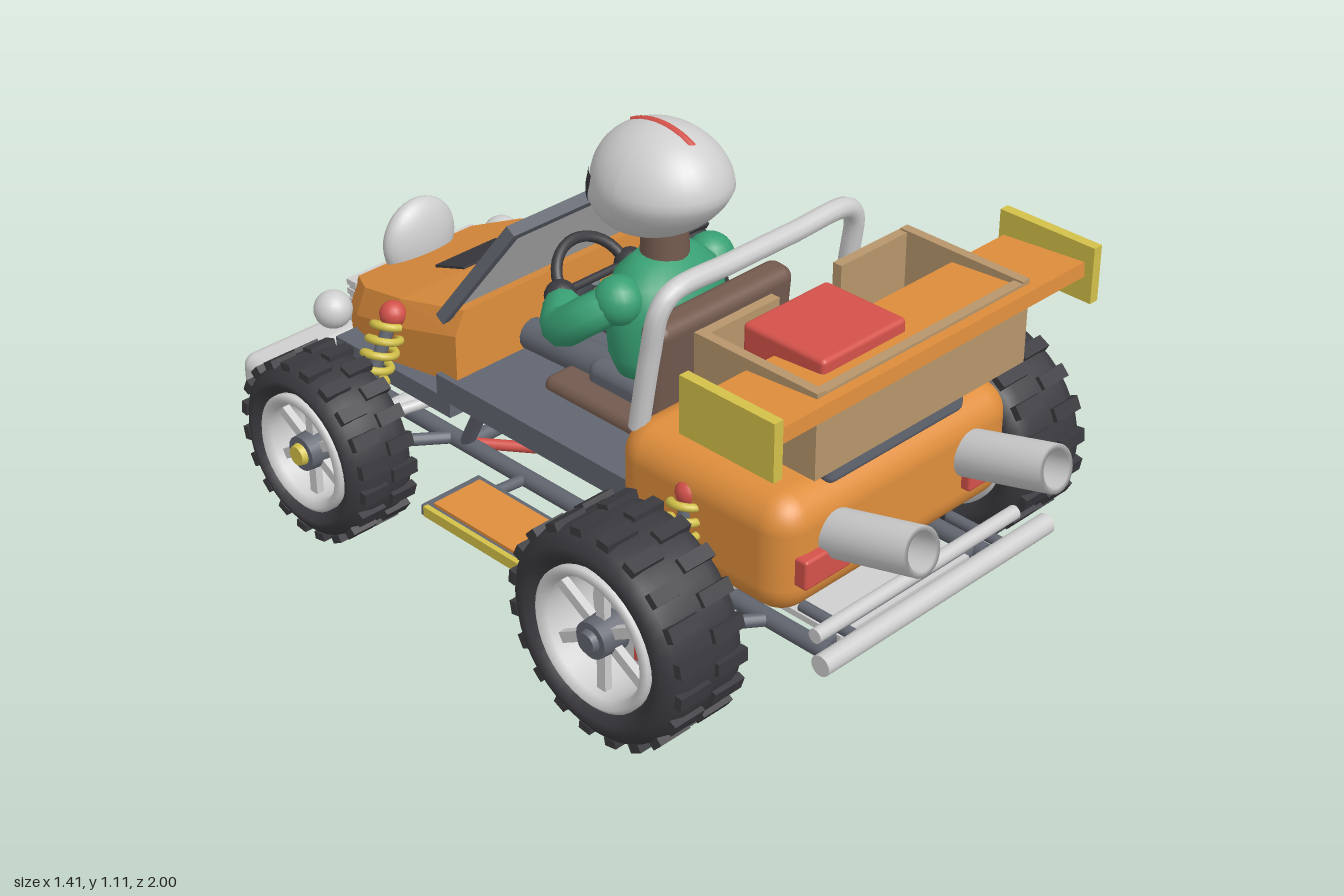
import * as THREE from 'three';
import { RoundedBoxGeometry } from 'three/addons/geometries/RoundedBoxGeometry.js';

const mat = (name, color) => Object.assign(new THREE.MeshStandardMaterial({ color }), { name });
const M = {
  orange: mat('orange paint', 0xdf8e3c), slate: mat('slate metal', 0x626670), light: mat('light metal', 0xcfcfcf),
  rubber: mat('dark rubber', 0x3a3a3f), yellow: mat('yellow', 0xd3c14a), red: mat('red', 0xd3524a),
  green: mat('green suit', 0x38a074), brown: mat('brown leather', 0x735a4e), tan: mat('tan wood', 0xb7966c),
};
const V = (x, y, z) => new THREE.Vector3(x, y, z);
const SIDES = [-1, 1];

export function createModel() {
  const root = new THREE.Group();
  root.name = 'buggy';
  const add = (name, geo, m, x = 0, y = 0, z = 0, parent = root) => {
    const mesh = new THREE.Mesh(geo, m);
    mesh.name = name;
    mesh.position.set(x, y, z);
    parent.add(mesh);
    return mesh;
  };
  // Box given by its extents
  const box = (name, m, x0, x1, y0, y1, z0, z1, r = 0) => {
    const s = [x1 - x0, y1 - y0, z1 - z0];
    const geo = r ? new RoundedBoxGeometry(...s, 4, r) : new THREE.BoxGeometry(...s);
    return add(name, geo, m, (x0 + x1) / 2, (y0 + y1) / 2, (z0 + z1) / 2);
  };
  // Straight round bar between two points
  const bar = (name, m, a, b, r, r2 = r) => {
    const d = b.clone().sub(a);
    const mesh = add(name, new THREE.CylinderGeometry(r2, r, d.length(), 14), m, ...a.clone().add(b).multiplyScalar(0.5));
    mesh.quaternion.setFromUnitVectors(V(0, 1, 0), d.normalize());
    return mesh;
  };
  const tube = (name, m, pts, r, seg = 40) =>
    add(name, new THREE.TubeGeometry(new THREE.CatmullRomCurve3(pts), seg, r, 10), m);
  const lathe = (pts, seg = 40) => new THREE.LatheGeometry(pts.map(p => new THREE.Vector2(...p)), seg);

  // Wheels: tyre, tread, rim, spokes, hub and brake, built around the y axis
  function wheel(name, s, x, y, z, R, w, rim, hubMat) {
    const g = new THREE.Group();
    g.name = name;
    g.position.set(x, y, z);
    g.rotation.z = -s * Math.PI / 2;
    root.add(g);
    const h = w / 2, t = R - 0.01;
    add('tyre', lathe([[rim, -h + 0.03], [rim + 0.03, -h], [t - 0.035, -h], [t - 0.008, -h + 0.02], [t, -h + 0.05],
      [t, h - 0.05], [t - 0.008, h - 0.02], [t - 0.035, h], [rim + 0.03, h], [rim, h - 0.03], [rim, -h + 0.03]]), M.rubber, 0, 0, 0, g);
    add('rim', lathe([[rim - 0.02, -h + 0.03], [rim + 0.006, -h + 0.01], [rim + 0.006, h - 0.01], [rim - 0.008, h],
      [rim - 0.022, h - 0.02], [rim - 0.02, -h + 0.03]]), M.light, 0, 0, 0, g);
    for (let i = 0; i < 20; i++) for (const side of SIDES) {
      const a = (i + (side > 0 ? 0.4 : 0)) / 20 * Math.PI * 2;
      const k = add('treadBlock', new THREE.BoxGeometry(0.02, w * 0.38, 0.034), M.rubber,
        Math.cos(a) * (R - 0.009), side * w * 0.235, Math.sin(a) * (R - 0.009), g);
      k.rotation.y = -a;
    }
    for (let i = 0; i < 6; i++) {
      const a = i / 6 * Math.PI * 2, r = rim / 2;
      const k = add('spoke', new THREE.BoxGeometry(rim - 0.02, 0.02, 0.026), M.light, Math.cos(a) * r, h - 0.05, Math.sin(a) * r, g);
      k.rotation.y = -a;
    }
    add('hub', new THREE.CylinderGeometry(0.045, 0.05, 0.07, 18), M.slate, 0, h - 0.045, 0, g);
    add('hubCap', new THREE.CylinderGeometry(0.025, 0.03, 0.02, 14), hubMat, 0, h - 0.005, 0, g);
    add('brakeDisc', new THREE.CylinderGeometry(rim * 0.68, rim * 0.68, 0.02, 28), M.light, 0, -0.02, 0, g);
    add('brakeCaliper', new THREE.BoxGeometry(0.07, 0.07, 0.06), M.red, -0.02, 0, 0.09, g);
  }
  for (const s of SIDES) {
    wheel('rearWheel', s, s * 0.582, 0.27, 0.466, 0.27, 0.235, 0.17, M.slate);
    wheel('frontWheel', s, s * 0.552, 0.238, -0.6, 0.235, 0.19, 0.147, M.yellow);
  }

  // Rear body, engine and lights
  box('rearBody', M.orange, -0.39, 0.39, 0.287, 0.587, 0.22, 0.75, 0.08);
  box('engineBlock', M.slate, -0.225, 0.225, 0.57, 0.64, 0.4, 0.73, 0.02);
  for (const s of SIDES) box('engineHead', M.slate, s * 0.16 - 0.06, s * 0.16 + 0.06, 0.6, 0.69, 0.42, 0.57);
  add('airIntake', new THREE.CylinderGeometry(0.098, 0.098, 0.12, 28), M.light, 0, 0.66, 0.5);
  add('intakeDome', new THREE.SphereGeometry(0.098, 28, 12, 0, Math.PI * 2, 0, Math.PI / 2), M.light, 0, 0.72, 0.5);
  for (const s of SIDES) {
    box('tailLight', M.red, s * 0.272 - 0.073, s * 0.272 + 0.073, 0.38, 0.455, 0.72, 0.775, 0.008);
    const pipe = add('exhaustPipe', lathe([[0.044, -0.15], [0.057, -0.15], [0.057, 0.15], [0.044, 0.15], [0.044, -0.15]], 24),
      M.light, s * 0.225, 0.493, 0.845);
    pipe.rotation.x = Math.PI / 2 - 0.27;
    const plug = add('exhaustInside', new THREE.CylinderGeometry(0.045, 0.045, 0.02, 20), M.rubber, s * 0.225, 0.465, 0.745);
    plug.rotation.x = pipe.rotation.x;
  }

  // Cargo box with a notch at its front, and its load
  box('cargoBack', M.tan, -0.345, 0.345, 0.672, 0.88, 0.765, 0.79);
  for (const s of SIDES) {
    const c = s * 0.333;
    box('cargoSide', M.tan, c - 0.012, c + 0.012, 0.672, 0.885, 0.435, 0.79);
    box('cargoFront', M.tan, s * 0.22 - 0.12, s * 0.22 + 0.12, 0.672, 0.88, 0.43, 0.455);
    box('cargoFloor', M.tan, s * 0.22 - 0.12, s * 0.22 + 0.12, 0.672, 0.69, 0.44, 0.78);
  }
  box('cargoFloorRear', M.tan, -0.11, 0.11, 0.672, 0.69, 0.6, 0.78);
  box('redCase', M.red, -0.26, 0.005, 0.72, 0.9, 0.495, 0.73, 0.012);

  // Rear wing
  const wing = box('wing', M.orange, -0.51, 0.51, 0.83, 0.866, 0.59, 0.82);
  wing.rotation.x = -0.08;
  for (const s of SIDES) box('wingEndPlate', M.yellow, s * 0.517 - 0.013, s * 0.517 + 0.013, 0.777, 0.918, 0.575, 0.843);

  // Roll bar
  tube('rollBar', M.light, [V(-0.33, 0.56, 0.25), V(-0.325, 0.75, 0.28), V(-0.315, 0.87, 0.3), V(-0.28, 0.905, 0.305), V(-0.1, 0.907, 0.305),
    V(0.1, 0.907, 0.305), V(0.28, 0.905, 0.305), V(0.315, 0.87, 0.3), V(0.325, 0.75, 0.28), V(0.33, 0.56, 0.25)], 0.025, 70);

  // Tub and front deck
  box('tubFloor', M.slate, -0.355, 0.355, 0.355, 0.42, -0.42, 0.25);
  box('frontDeck', M.slate, -0.35, 0.35, 0.31, 0.36, -0.81, -0.38);

  // Hood lofted from half width, bottom, shoulder and top at each z
  const rings = [[-0.36, 0.34, 0.41, 0.54, 0.6], [-0.6, 0.338, 0.37, 0.47, 0.535], [-0.8, 0.288, 0.31, 0.4, 0.467], [-0.91, 0.22, 0.275, 0.36, 0.43]]
    .map(([z, w, b, sh, t]) => [[w, b], [w, sh], [w - 0.03, t], [0.03 - w, t], [-w, sh], [-w, b]].map(([x, y]) => [x, y, z]));
  const idx = [], n = 6, last = (rings.length - 1) * n;
  for (let i = 0; i < last; i += n) for (let j = 0; j < n; j++) {
    const a = i + j, b = i + (j + 1) % n;
    idx.push(a, a + n, b, b, a + n, b + n);
  }
  for (let j = 1; j < n - 1; j++) idx.push(0, j, j + 1, last, last + j + 1, last + j);
  const loft = new THREE.BufferGeometry();
  loft.setAttribute('position', new THREE.Float32BufferAttribute(rings.flat(2), 3));
  loft.setIndex(idx);
  const hood = loft.toNonIndexed();
  hood.computeVertexNormals();
  add('hood', hood, M.orange);
  const vent = box('hoodVent', M.rubber, -0.1, 0.1, 0.514, 0.522, -0.715, -0.6);
  vent.rotation.x = -0.325;

  // Nose: large lamp, side lamps, grille and bumper
  add('centreLamp', new THREE.SphereGeometry(0.112, 32, 20), M.light, 0, 0.475, -0.895).scale.z = 0.45;
  for (const s of SIDES) add('sideLamp', new THREE.SphereGeometry(0.05, 20, 14), M.light, s * 0.285, 0.375, -0.9);
  for (let i = 0; i < 5; i++) box('grilleSlat', M.light, -0.21, 0.21, 0.3 + i * 0.026, 0.316 + i * 0.026, -0.935, -0.9);
  for (let i = 0; i < 11; i++) box('grillePost', M.light, -0.206 + i * 0.04, -0.194 + i * 0.04, 0.3, 0.42, -0.93, -0.9);
  box('grilleBadge', M.red, -0.03, 0.03, 0.32, 0.39, -0.942, -0.93);
  box('frontBumper', M.light, -0.515, 0.515, 0.18, 0.3, -1, -0.88, 0.035);

  // Windshield: frame with a pane, leaning back
  const shield = new THREE.Group();
  shield.name = 'windshield';
  shield.position.set(0, 0.57, -0.41);
  shield.rotation.x = 0.604;
  root.add(shield);
  const trapezoid = (C, b, t, y0, y1) => {
    const p = new C();
    p.moveTo(-b, y0); p.lineTo(b, y0); p.lineTo(t, y1); p.lineTo(-t, y1); p.closePath();
    return p;
  };
  const frame = trapezoid(THREE.Shape, 0.345, 0.29, 0, 0.355);
  frame.holes.push(trapezoid(THREE.Path, 0.32, 0.268, 0.022, 0.333));
  add('windshieldFrame', new THREE.ExtrudeGeometry(frame, { depth: 0.03, bevelEnabled: false }), M.slate, 0, 0, -0.015, shield);
  add('windshieldPane', new THREE.ExtrudeGeometry(trapezoid(THREE.Shape, 0.322, 0.27, 0.02, 0.335), { depth: 0.008, bevelEnabled: false }),
    M.light, 0, 0, -0.008, shield);

  // Steering
  bar('steeringColumn', M.slate, V(0, 0.61, -0.24), V(0, 0.43, -0.4), 0.016);
  add('steeringWheel', new THREE.TorusGeometry(0.105, 0.014, 10, 32), M.rubber, 0, 0.615, -0.24).rotation.x = -0.7;
  bar('steeringSpoke', M.rubber, V(-0.1, 0.615, -0.24), V(0.1, 0.615, -0.24), 0.01);

  // Seat
  box('seatBase', M.brown, -0.215, 0.215, 0.3, 0.45, -0.2, 0.17, 0.025);
  const back = box('seatBack', M.brown, -0.222, 0.222, 0.42, 0.74, 0.12, 0.2, 0.03);
  back.rotation.x = 0.09;

  // Driver
  add('torso', lathe([[0, 0], [0.13, 0], [0.155, 0.06], [0.165, 0.18], [0.14, 0.25], [0.08, 0.295], [0, 0.3]], 28), M.green, 0, 0.49, 0).scale.z = 0.7;
  box('hips', M.slate, -0.15, 0.15, 0.41, 0.5, -0.12, 0.12, 0.03);
  add('neck', new THREE.CylinderGeometry(0.055, 0.06, 0.1, 20), M.brown, 0, 0.82, 0);
  for (const s of SIDES) {
    tube('sleeve', M.green, [V(s * 0.14, 0.71, 0), V(s * 0.205, 0.67, -0.05), V(s * 0.21, 0.61, -0.13), V(s * 0.14, 0.61, -0.2)], 0.048, 20);
    add('shoulder', new THREE.SphereGeometry(0.06, 18, 12), M.green, s * 0.15, 0.71, 0);
    add('glove', new THREE.SphereGeometry(0.04, 16, 12), M.rubber, s * 0.115, 0.613, -0.235);
    bar('leg', M.slate, V(s * 0.08, 0.46, -0.05), V(s * 0.1, 0.45, -0.42), 0.05, 0.04);
  }
  // Helmet shell: a sphere with chin pushed forward, crown narrowed and base cut flat
  const shell = (k, kx, ...arc) => {
    const g = new THREE.SphereGeometry(1, 36, 26, ...arc), p = g.attributes.position;
    for (let i = 0; i < p.count; i++) {
      const x = p.getX(i), y = Math.max(p.getY(i), -0.82), z = p.getZ(i);
      p.setXYZ(i, x * 0.157 * kx * (1 - 0.1 * Math.max(y, 0)), y * 0.145 * k, z * 0.178 * k + Math.min(y, 0) * 0.06);
    }
    g.computeVertexNormals();
    return g;
  };
  add('helmet', shell(1, 1), M.light, 0, 0.963, -0.008);
  add('visor', shell(1.025, 1.025, Math.PI * 1.5 - 1, 2, 1.43, 0.48), M.rubber, 0, 0.963, -0.008);
  add('helmetStripe', shell(1.03, 0.26, 0, Math.PI * 2, 0, 0.6), M.red, 0, 0.963, -0.008);

  // Lower chassis frame with red cross bracing
  for (const s of SIDES) {
    bar('lowerRail', M.slate, V(s * 0.27, 0.185, -0.82), V(s * 0.27, 0.185, 0.78), 0.022);
    bar('frontStrut', M.slate, V(s * 0.27, 0.185, -0.42), V(s * 0.3, 0.38, -0.3), 0.018);
    bar('rearStrut', M.slate, V(s * 0.27, 0.185, 0.3), V(s * 0.3, 0.38, 0.2), 0.018);
    bar('noseStrut', M.slate, V(s * 0.27, 0.185, -0.8), V(s * 0.25, 0.33, -0.8), 0.018);
    bar('crossBrace', M.red, V(s * 0.26, 0.19, -0.4), V(-s * 0.26, 0.19, 0.3), 0.014);
    bar('bumperStay', M.slate, V(s * 0.25, 0.25, 0.68), V(s * 0.25, 0.25, 0.86), 0.014);
    bar('frontBumperStay', M.slate, V(s * 0.25, 0.2, -0.78), V(s * 0.25, 0.23, -0.92), 0.018);
  }
  for (const z of [-0.8, -0.42, 0.3, 0.74]) bar('crossMember', M.slate, V(-0.27, 0.185, z), V(0.27, 0.185, z), 0.02);
  for (let i = 0; i < 9; i++) box('skidFin', M.slate, -0.187 + i * 0.045, -0.173 + i * 0.045, 0.148, 0.18, 0.5, 0.76);
  box('skidPlate', M.light, -0.22, 0.22, 0.18, 0.196, 0.48, 0.77);

  // Rear bumper
  bar('rearBumper', M.light, V(-0.385, 0.25, 0.858), V(0.385, 0.25, 0.858), 0.026);
  bar('rearBumperInner', M.light, V(-0.34, 0.275, 0.8), V(0.34, 0.275, 0.8), 0.018);

  // Side steps
  for (const s of SIDES) {
    const c = s * 0.46;
    box('stepBase', M.slate, c - 0.09, c + 0.09, 0.185, 0.212, -0.26, 0.1);
    box('stepPad', M.orange, c - 0.072, c + 0.072, 0.212, 0.22, -0.235, 0.075);
    box('stepEdge', M.yellow, s * 0.55 - 0.007, s * 0.55 + 0.007, 0.19, 0.217, -0.245, 0.085);
    for (const z of [-0.2, 0.04]) bar('stepBracket', M.slate, V(s * 0.27, 0.185, z), V(s * 0.4, 0.195, z), 0.014);
  }

  // Suspension: axles, wishbones and coil springs
  for (const s of SIDES) for (const [z, y, top] of [[-0.6, 0.238, V(s * 0.34, 0.51, -0.59)], [0.466, 0.265, V(s * 0.37, 0.5, 0.45)]]) {
    bar('axle', M.light, V(0, y, z), V(s * 0.56, y, z), 0.026);
    for (const d of SIDES) {
      bar('wishbone', M.slate, V(s * 0.27, 0.185, z + d * 0.14), V(s * 0.49, 0.21, z + d * 0.02), 0.016);
      bar('upperArm', M.light, V(s * 0.25, 0.28, z + d * 0.1), V(s * 0.49, 0.265, z + d * 0.02), 0.014);
    }
    const foot = V(s * 0.465, 0.25, z), d = top.clone().sub(foot), pts = [];
    const u = V(0, 0, 1), v = d.clone().normalize().cross(u);
    for (let i = 0; i <= 84; i++) {
      const a = i / 12 * Math.PI * 2;
      pts.push(foot.clone().addScaledVector(d, i / 84 * 0.92).addScaledVector(u, Math.cos(a) * 0.038).addScaledVector(v, Math.sin(a) * 0.038));
    }
    tube('coilSpring', M.yellow, pts, 0.01, 150);
    bar('damper', M.slate, foot, top, 0.017);
    add('springCap', new THREE.SphereGeometry(0.034, 16, 12), M.red, top.x, top.y, top.z);
  }
  return root;
}
